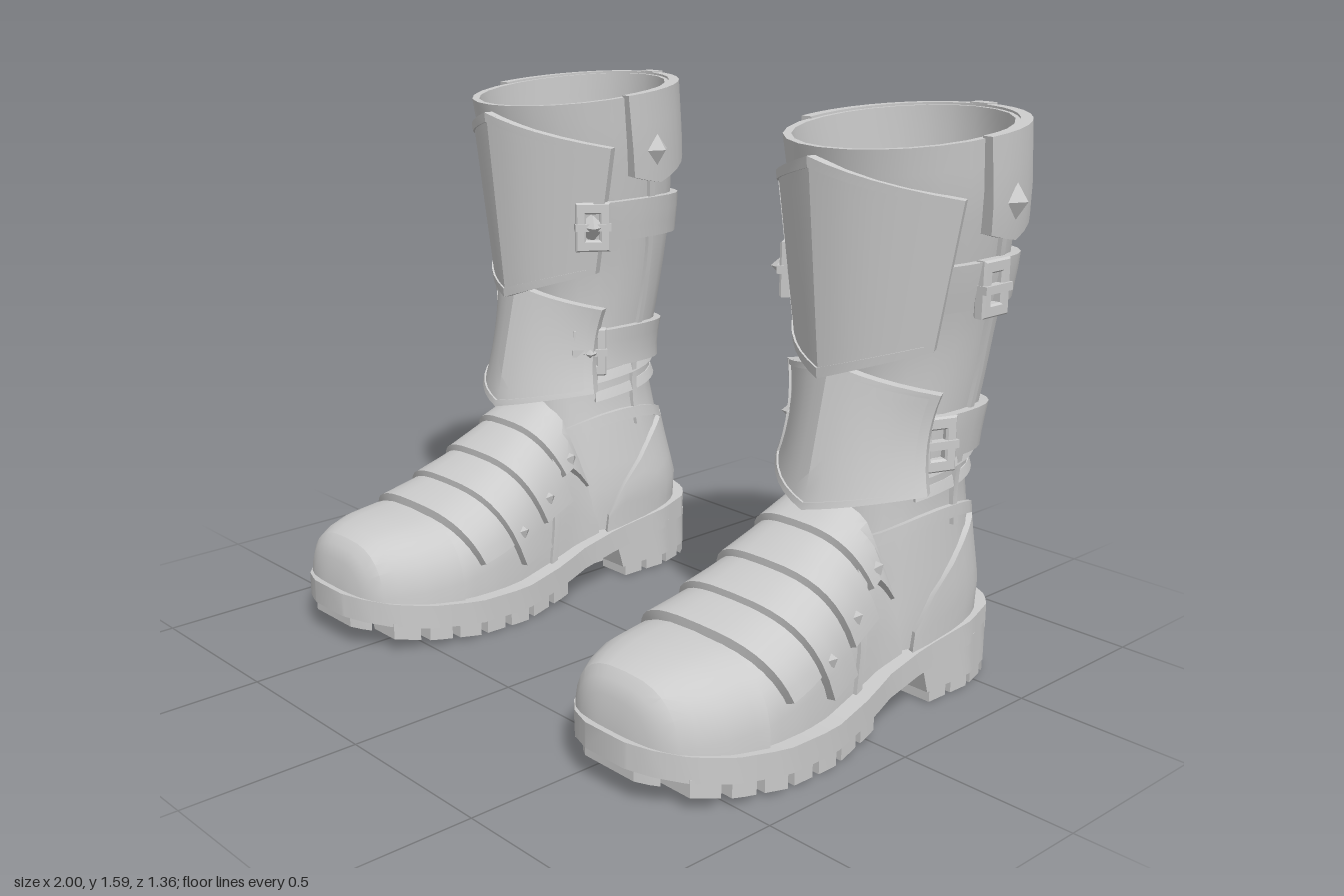
import * as THREE from 'three';
import { toCreasedNormals } from 'three/addons/utils/BufferGeometryUtils.js';

const { lerp } = THREE.MathUtils;
const PI = Math.PI;
const grey = new THREE.MeshStandardMaterial({ color: 0xcccccc });

// Linear lookup in rows sorted by their first number.
function look(rows, t) {
  let i = 1;
  while (i < rows.length - 1 && rows[i][0] < t) i++;
  const a = rows[i - 1], b = rows[i];
  const k = THREE.MathUtils.clamp((t - a[0]) / (b[0] - a[0]), 0, 1);
  return a.map((n, j) => lerp(n, b[j], k));
}
const pw = (n, e) => Math.sign(n) * Math.abs(n) ** e;

// Shaft rows: y, front z, back z, half width, centre x
const SHAFT = [
  [0.18, -0.06, -0.59, 0.21, -0.03], [0.3, -0.08, -0.595, 0.215, -0.03], [0.45, -0.08, -0.57, 0.2, -0.02],
  [0.6, -0.09, -0.55, 0.185, -0.01], [0.75, -0.11, -0.555, 0.195, 0], [0.9, -0.12, -0.59, 0.215, 0],
  [1.05, -0.1, -0.62, 0.235, 0], [1.2, -0.06, -0.635, 0.26, 0.005], [1.4, -0.01, -0.64, 0.285, 0.01],
  [1.6, 0.03, -0.635, 0.295, 0.01]];
// Foot rows: z, top y, half width
const FOOT = [
  [-0.2, 0.42, 0.2], [-0.1, 0.61, 0.2], [0, 0.54, 0.215], [0.14, 0.445, 0.242], [0.25, 0.385, 0.257],
  [0.37, 0.335, 0.262], [0.5, 0.325, 0.242], [0.58, 0.31, 0.205], [0.62, 0.285, 0.165], [0.645, 0.23, 0.11], [0.655, 0.13, 0.05]];
// Sole rows: z, half width, top y
const SOLE = [
  [-0.64, 0.08, 0.22], [-0.62, 0.145, 0.218], [-0.57, 0.2, 0.215], [-0.45, 0.235, 0.205], [-0.25, 0.23, 0.18],
  [-0.1, 0.24, 0.155], [0, 0.265, 0.135], [0.17, 0.295, 0.115], [0.35, 0.3, 0.122], [0.5, 0.27, 0.14],
  [0.6, 0.215, 0.155], [0.66, 0.14, 0.166], [0.685, 0.07, 0.17]];

// Angle 0 faces the toe, PI / 2 faces outward.
function shaftAt(a, y, off) {
  const [, zf, zb, hw, xc] = look(SHAFT, y);
  const e = lerp(0.75, 1, Math.min(1, Math.max(0, (y - 0.3) / 0.7)));
  return new THREE.Vector3(xc + (hw + off) * pw(Math.sin(a), e), y,
    (zf + zb) / 2 + ((zf - zb) / 2 + off) * pw(Math.cos(a), e));
}
// Angle runs over the instep from the outer to the inner side; slope leans the section back.
function footAt(a, z, off, slope = 0) {
  const s = pw(Math.sin(a), 0.7), c = pw(Math.cos(a), 0.7), base = 0.1;
  const zz = z - slope * (look(FOOT, z)[1] - base) * (1 - s);
  const [, top, hw] = look(FOOT, zz);
  return new THREE.Vector3(-0.03 + (hw + off) * c, base + (top - base + off) * s, zz + (z > 0.6 ? off : 0));
}
function soleAt(u, z, y) {
  const [, hw, top] = look(SOLE, z);
  return new THREE.Vector3(-0.03 + u * hw, y(top), z);
}

// Closed slab between the two skins f(u, v, 0) and f(u, v, 1).
function slab(f, nu, nv) {
  const pos = [], idx = [], n = (nu + 1) * (nv + 1);
  for (let k = 0; k < 2; k++)
    for (let j = 0; j <= nv; j++)
      for (let i = 0; i <= nu; i++) pos.push(...f(i / nu, j / nv, k).toArray());
  const id = (i, j, k) => k * n + j * (nu + 1) + i;
  const quad = (a, b, c, d) => idx.push(a, b, c, a, c, d);
  for (let j = 0; j < nv; j++) {
    for (let i = 0; i < nu; i++) {
      quad(id(i, j, 1), id(i + 1, j, 1), id(i + 1, j + 1, 1), id(i, j + 1, 1));
      quad(id(i, j, 0), id(i, j + 1, 0), id(i + 1, j + 1, 0), id(i + 1, j, 0));
    }
    quad(id(0, j, 0), id(0, j, 1), id(0, j + 1, 1), id(0, j + 1, 0));
    quad(id(nu, j, 0), id(nu, j + 1, 0), id(nu, j + 1, 1), id(nu, j, 1));
  }
  for (let i = 0; i < nu; i++) {
    quad(id(i, 0, 0), id(i + 1, 0, 0), id(i + 1, 0, 1), id(i, 0, 1));
    quad(id(i, nv, 0), id(i, nv, 1), id(i + 1, nv, 1), id(i + 1, nv, 0));
  }
  // Turn the faces outward if the enclosed volume comes out negative.
  const p = t => new THREE.Vector3().fromArray(pos, idx[t] * 3);
  let vol = 0;
  for (let t = 0; t < idx.length; t += 3) vol += p(t).dot(p(t + 1).cross(p(t + 2)));
  if (vol < 0) idx.reverse();
  const g = new THREE.BufferGeometry();
  g.setAttribute('position', new THREE.Float32BufferAttribute(pos, 3));
  g.setIndex(idx);
  return toCreasedNormals(g, 0.4);
}

function buildBoot() {
  const boot = new THREE.Group();
  const add = (name, geo) => {
    const m = new THREE.Mesh(geo, grey);
    m.name = name;
    boot.add(m);
    return m;
  };
  // Band wrapped on the shaft between two angles and two height rules; low and high are its edge offsets
  const band = (name, a0, a1, bottom, top, low, high = low, nu = 20, nv = 3) =>
    add(name, slab((u, v, k) => {
      const a = lerp(a0, a1, u);
      return shaftAt(a, lerp(bottom(a), top(a), v), k ? lerp(low, high, v) : -0.01);
    }, nu, nv));
  const rim = a => 1.557 - 0.027 * Math.cos(a);

  // Shaft, insole and foot
  add('shaft', slab((u, v, k) => shaftAt(u * 2 * PI, lerp(0.18, rim(u * 2 * PI), v), k ? 0 : lerp(-0.035, -0.022, v)), 24, 20));
  add('insole', new THREE.CircleGeometry(1, 24).rotateX(-PI / 2).scale(0.19, 1, 0.24).translate(-0.03, 0.23, -0.33));
  add('foot', slab((u, v, k) => footAt(u * PI, lerp(-0.2, 0.655, v), k ? 0 : -0.02), 16, 24));
  add('toeCap', slab((u, v, k) => footAt(u * PI, lerp(0.385, 0.655, Math.sin(v * PI / 2)), k ? 0.012 : -0.01), 16, 10));
  add('vampSeam', slab((u, v, k) => footAt(u * PI, lerp(-0.075, -0.045, v), k ? 0.012 : -0.01, -0.15), 16, 1));

  // Shaft trims
  band('cuff', 1.45, 2 * PI - 1.45, a => 1.285 + 0.085 * Math.abs(Math.abs(a - PI) - 1.37), a => rim(a) + 0.006, 0.034, 0.022);
  band('heelCounter', PI - 1.85, PI + 1.85, () => 0.17, a => 0.5 - 0.27 * ((a - PI) / 1.85) ** 4, 0.016, 0.014, 20, 5);
  band('anklePiping', 0.5, 2 * PI - 0.5, a => 0.49 - 0.035 * Math.cos(2 * a), a => 0.525 - 0.035 * Math.cos(2 * a), 0.014);
  band('backStrip', PI - 0.1, PI + 0.1, () => 0.55, a => rim(a) + 0.01, 0.03, 0.03, 2, 14);
  for (const s of [-1, 1]) {
    band('sideSeam', s * 1.75 - 0.04, s * 1.75 + 0.04, () => 0.5, () => 1.35, 0.01, 0.01, 1, 12);
    // Creases above the ankle
    for (const y of [0.56, 0.62])
      band('ankleFold', s * 1.2, s * 2.5, a => y + 0.03 * Math.abs(a), a => y + 0.03 * Math.abs(a) + 0.03, 0.012, 0.002, 8, 1);
  }
  for (const y of [1.17, 0.76])
    band('strap', 0.85, 2 * PI - 0.85, a => y - 0.065 - 0.012 * Math.cos(2 * a), a => y + 0.06 - 0.012 * Math.cos(2 * a), 0.024);

  // Keeled shin plates with raised borders
  const plate = (name, top, bottom, halfWidth, front, depth) => {
    const at = (u, v, off) => {
      const t = u * 2 - 1, b = Math.abs(t);
      return new THREE.Vector3(t * (halfWidth(v) + off * 0.5), lerp(bottom(b), top(b), v),
        front(v) - depth(v) * (0.25 * b + 0.75 * b ** 2.2) + off);
    };
    add(name, slab((u, v, k) => at(u, v, k ? 0 : -0.022), 12, 8));
    for (const [v0, v1] of [[0, 0.05], [0.95, 1]])
      add(name + 'Edge', slab((u, v, k) => at(u, lerp(v0, v1, v), k ? 0.006 : -0.024), 12, 1));
    for (const [u0, u1] of [[0, 0.035], [0.965, 1]])
      add(name + 'Edge', slab((u, v, k) => at(lerp(u0, u1, u), v, k ? 0.006 : -0.024), 1, 8));
  };
  plate('upperShinPlate', b => 1.51 - 0.1 * b, b => 0.935 + 0.085 * b,
    v => lerp(0.235, 0.305, v), v => lerp(-0.02, 0.04, v), v => lerp(0.17, 0.235, v));
  plate('lowerShinPlate', b => 0.97 - 0.06 * b, b => 0.59 + 0.06 * b,
    v => 0.238 + 0.09 * (v - 0.5) ** 2, v => lerp(0.025, -0.06, v), v => lerp(0.185, 0.135, v));

  // Overlapping instep straps
  [[0.255, 0.37, 0.3], [0.14, 0.25, 0.1], [0.025, 0.135, 0.28], [-0.075, 0.02, 0.5]].forEach(([z0, z1, a0]) =>
    add('instepStrap', slab((u, v, k) =>
      footAt(lerp(a0, PI - a0, u), lerp(z0, z1, v), k ? 0.012 + 0.014 * v : -0.02, 0.45), 18, 3)));

  // Small fittings placed on a surface, facing outward
  const fit = (name, geo, at) => {
    const m = add(name, geo);
    m.position.copy(at(0));
    m.lookAt(at(1));
    return m;
  };
  const stud = (r, h) => toCreasedNormals(new THREE.ConeGeometry(r, h, 4).rotateX(PI / 2).translate(0, 0, h / 2), 0.1);
  for (const [z, spread] of [[0.215, 1.2], [0.095, 1.12], [-0.02, 0.98]])
    for (const s of [-1, 1])
      fit('strapStud', stud(0.022, 0.025), d => footAt(PI / 2 + s * spread, z, 0.018 + d, 0.45));
  for (const s of [-1, 1]) fit('cuffStud', stud(0.048, 0.032), d => shaftAt(s * 1.75, 1.39, 0.028 + d));

  // Buckles: a square frame, a prong and, on the inner side, a pointed boss
  const rect = (w, h) => [[-w, -h], [w, -h], [w, h], [-w, h]].map(p => new THREE.Vector2(...p));
  const frame = new THREE.Shape(rect(0.048, 0.07));
  frame.holes.push(new THREE.Path(rect(0.026, 0.045).reverse()));
  const frameGeo = new THREE.ExtrudeGeometry(frame, { depth: 0.022, bevelThickness: 0.006, bevelSize: 0.005, bevelSegments: 1 });
  for (const [a, y, off] of [[PI / 2, 1.17, 0.014], [1.25, 0.76, 0.014], [-0.98, 1.17, 0.035], [-1, 0.77, 0.035]]) {
    const at = d => shaftAt(a, y, off + d);
    fit('buckleFrame', frameGeo, at);
    fit('buckleProng', new THREE.BoxGeometry(0.11, 0.022, 0.03).translate(0, 0, 0.02), at);
    if (a < 0) fit('buckleBoss', stud(0.055, 0.06), at);
  }

  // Sole, heel block and tread lugs
  const ends = (z0, z1, v) => lerp(z0, z1, (1 - Math.cos(v * PI)) / 2);
  add('sole', slab((u, v, k) => soleAt(u * 2 - 1, ends(-0.64, 0.685, v), t => t - (k ? 0 : 0.07)), 2, 32));
  add('heel', slab((u, v, k) => soleAt(u * 2 - 1, lerp(-0.635, k ? -0.25 : -0.275, v), t => (k ? t - 0.05 : 0.045)), 2, 14));
  const lug = (u0, u1, z0, z1, y0, y1) =>
    add('treadLug', slab((u, v, k) => soleAt(lerp(u0, u1, u), lerp(z0, z1, v), k ? y1 : y0), 1, 2));
  for (let i = 0; i < 7; i++) {
    const z = -0.02 + i * 0.092;
    for (const s of [-1, 1]) lug(s * 0.5, s * 0.99, z, z + 0.068, t => t - 0.108, t => t - 0.06);
    lug(-0.36, 0.36, z + 0.012, z + 0.056, t => t - 0.102, t => t - 0.06);
  }
  lug(-0.8, 0.8, 0.63, 0.67, t => t - 0.1, t => t - 0.06);
  for (let i = 0; i < 4; i++) {
    const z = -0.625 + i * 0.09;
    for (const s of [-1, 1]) lug(s * 0.5, s * 0.99, z, z + 0.068, () => 0.012, () => 0.06);
  }
  for (const z of [-0.625, -0.335]) lug(-0.35, 0.35, z, z + 0.05, () => 0.012, () => 0.06);
  return boot;
}

// Mirrored copy with the triangle order turned round
function mirror(src) {
  const out = new THREE.Group();
  for (const m of src.children) {
    m.updateMatrix();
    const g = m.geometry.index ? m.geometry.toNonIndexed() : m.geometry.clone();
    g.applyMatrix4(m.matrix).scale(-1, 1, 1);
    for (const key of ['position', 'normal']) {
      const a = g.attributes[key].array;
      for (let i = 0; i < a.length; i += 9)
        for (let j = 3; j < 6; j++) [a[i + j], a[i + j + 3]] = [a[i + j + 3], a[i + j]];
    }
    const copy = new THREE.Mesh(g, grey);
    copy.name = m.name;
    out.add(copy);
  }
  return out;
}

export function createModel() {
  const model = new THREE.Group();
  const left = buildBoot(), right = mirror(left);
  left.name = 'leftBoot';
  right.name = 'rightBoot';
  left.position.x = 0.65;
  right.position.x = -0.65;
  model.add(left, right);
  return model;
}
